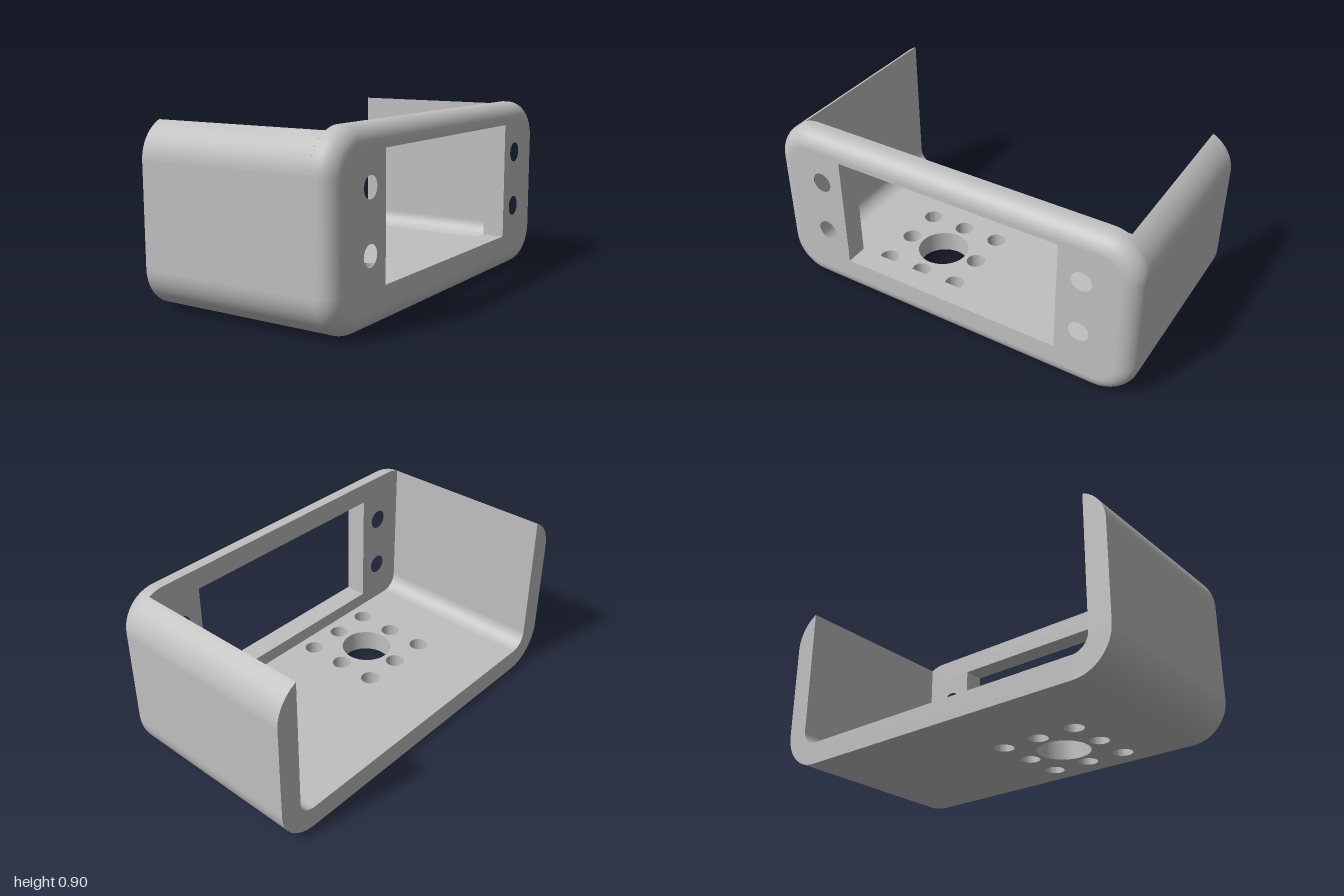
import * as THREE from 'three';
import { toCreasedNormals } from 'three/addons/utils/BufferGeometryUtils.js';

const X0 = -0.525, XP = 0.41, X1 = 0.525;      // open end, inside of end plate, outside of end plate
const R = 0.2, T = 0.115, F = 0.09;            // corner radius, wall thickness, end fillet
const H = 0.9, W = 1, CZ = W - R;              // height, half width, corner centre
const CUT = Math.acos((W - T - CZ) / R);       // where the cavity slices the top corner

// Arc of profile points: a centre plus an outward normal, so any offset can be taken
function arc(cz, cy, a0, a1, n = 16) {
  return Array.from({ length: n + 1 }, (_, i) => {
    const a = a0 + (a1 - a0) * i / n;
    return { cz, cy, nz: Math.cos(a), ny: Math.sin(a) };
  });
}

const mirror = (profile) => profile.map((p) => ({ ...p, cz: -p.cz, nz: -p.nz })).reverse();
const at = (p, r) => new THREE.Vector2(p.cz + r * p.nz, p.cy + r * p.ny);

// Smooth skin of a profile swept along x; each section has x, radius and normal tilt
function sweep(profile, sections, inward = false) {
  const pos = [], nor = [], idx = [], n = profile.length, s = inward ? -1 : 1;
  for (const { x, r, t = 0 } of sections) {
    for (const p of profile) {
      const q = at(p, r);
      pos.push(x, q.y, q.x);
      nor.push(s * Math.sin(t), s * Math.cos(t) * p.ny, s * Math.cos(t) * p.nz);
    }
  }
  for (let i = 0; i < sections.length - 1; i++) {
    for (let j = 0; j < n - 1; j++) {
      const a = i * n + j, b = a + 1, c = a + n, d = c + 1;
      if (inward) idx.push(a, c, b, b, c, d);
      else idx.push(a, b, c, b, d, c);
    }
  }
  const g = new THREE.BufferGeometry();
  g.setAttribute('position', new THREE.Float32BufferAttribute(pos, 3));
  g.setAttribute('normal', new THREE.Float32BufferAttribute(nor, 3));
  g.setIndex(idx);
  return g;
}

function rectPath(x0, y0, x1, y1) {
  return [[x0, y0], [x1, y0], [x1, y1], [x0, y1]].map(([x, y]) => new THREE.Vector2(x, y));
}

const circle = (x, y, r) => new THREE.Path().absarc(x, y, r, 0, Math.PI * 2, true);

function slab(shape) {
  const g = new THREE.ExtrudeGeometry(shape, { depth: T, bevelEnabled: false, curveSegments: 24 });
  return toCreasedNormals(g, 0.6);
}

export function createModel() {
  const group = new THREE.Group();
  const grey = new THREE.MeshStandardMaterial({ color: 0xc0c0c0 });
  const add = (name, geometry) => {
    const mesh = new THREE.Mesh(geometry, grey);
    mesh.name = name;
    group.add(mesh);
  };

  // Floor with a large shaft hole ringed by eight screw holes
  const floor = new THREE.Shape(rectPath(X0, -CZ, XP, CZ));
  const hx = 0.115, hz = 0.295, step = 0.206;
  for (const i of [-1, 0, 1]) {
    for (const j of [-1, 0, 1]) {
      floor.holes.push(circle(hx + i * step, hz + j * step, i || j ? 0.049 : 0.133));
    }
  }
  add('floor', slab(floor).rotateX(Math.PI / 2).translate(0, T, 0));

  // Side walls: outer skin, inner skin and the rim at the open end
  const outer = [...arc(CZ, H - R, CUT, 0), ...arc(CZ, R, 0, -Math.PI / 2)];
  const top = H - R + R * Math.sin(CUT);
  const inner = [{ cz: CZ, cy: top, nz: 1, ny: 0 }, ...arc(CZ, R, 0, -Math.PI / 2)];
  const span = (r) => [{ x: X0, r }, { x: XP, r }];
  for (const side of [1, -1]) {
    const label = side > 0 ? 'front' : 'back';
    const o = side > 0 ? outer : mirror(outer);
    const n = side > 0 ? inner : mirror(inner);
    add(label + 'WallOutside', sweep(o, span(R)));
    add(label + 'WallInside', sweep(n, span(R - T), true));
    const outline = [...o.map((p) => at(p, R)), ...n.map((p) => at(p, R - T)).reverse()]
      .filter((p, i, all) => i === 0 || p.distanceTo(all[i - 1]) > 1e-5);
    if (outline[0].distanceTo(outline[outline.length - 1]) < 1e-5) outline.pop();
    add(label + 'WallRim', new THREE.ShapeGeometry(new THREE.Shape(outline))
      .rotateY(-Math.PI / 2).translate(X0, 0, 0));
  }

  // Rounded border of the end plate
  const half = [...arc(CZ, H - R, Math.PI / 2, 0), ...arc(CZ, R, 0, -Math.PI / 2)];
  const ring = [...half, ...mirror(half)];
  const sections = [{ x: XP, r: R }];
  for (let i = 0; i <= 12; i++) {
    const t = (i / 12) * Math.PI / 2;
    sections.push({ x: X1 - F + F * Math.sin(t), r: R - F + F * Math.cos(t), t });
  }
  add('endPlateBorder', sweep([...ring, ring[0]], sections));

  // End plate with a window and four screw holes
  const ringPoints = (r) => ring.map((p) => at(p, r))
    .filter((p, i, all) => i === 0 || p.distanceTo(all[i - 1]) > 1e-5);
  const plate = new THREE.Shape(ringPoints(R - F));
  plate.holes.push(new THREE.Path(rectPath(-0.6, 0.187, 0.6, 0.79)));
  for (const z of [-0.722, 0.722]) {
    for (const y of [0.34, 0.635]) plate.holes.push(circle(z, y, 0.052));
  }
  add('endPlate', slab(plate).rotateY(Math.PI / 2).translate(XP, 0, 0));

  // Inside face of the border, around the plate
  const border = new THREE.Shape(ringPoints(R));
  border.holes.push(new THREE.Path(ringPoints(R - F)));
  add('endPlateBorderInside', new THREE.ShapeGeometry(border)
    .rotateY(-Math.PI / 2).translate(XP, 0, 0));

  return group;
}
